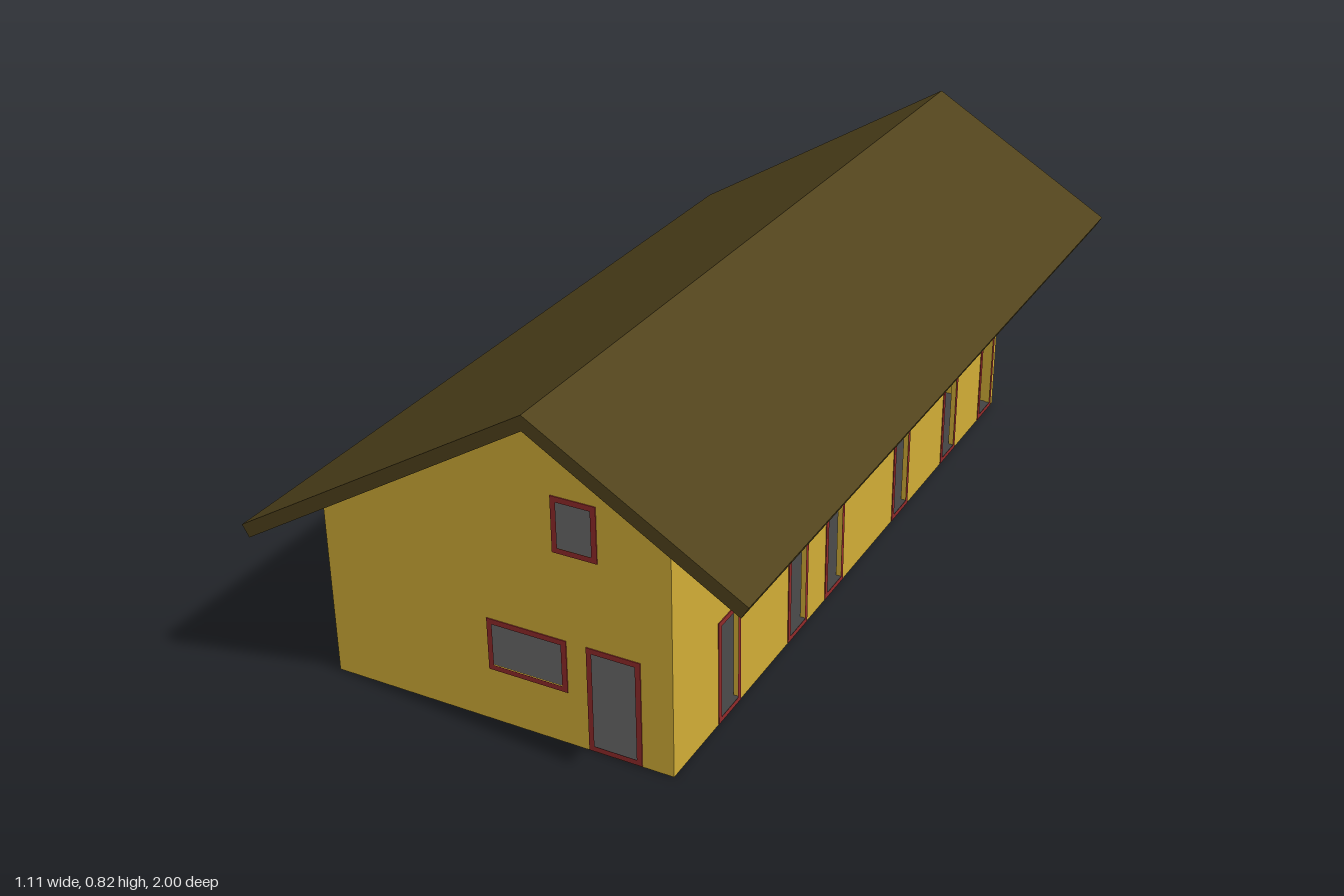
import * as THREE from 'three';

const paint = (color) => new THREE.MeshStandardMaterial({ color, flatShading: true });
const WALL = paint(0xd4af37), FRAME = paint(0x932b2b), ROOF = paint(0x51431c), SLAB = paint(0x444444);

const LEFT = 0.32, RIGHT = -0.48, FRONT = 0.845, BACK = -0.94;
const T = 0.015;      // wall thickness
const TRIM = 0.012;   // visible width of the frames
const RIDGE_X = 0.11, RIDGE_Y = 0.786, SLOPE = 0.603;
const wallTop = (x) => RIDGE_Y - Math.abs(x - RIDGE_X) * SLOPE;

const polygon = (points) => new THREE.Shape(points.map(([x, y]) => new THREE.Vector2(x, y)));

function rectangle(u0, v0, u1, v1, path = new THREE.Path()) {
  path.moveTo(u0, v0);
  path.lineTo(u0, v1);
  path.lineTo(u1, v1);
  path.lineTo(u1, v0);
  path.closePath();
  return path;
}

function extrude(name, shape, depth, material) {
  const mesh = new THREE.Mesh(new THREE.ExtrudeGeometry(shape, { depth, bevelEnabled: false }), material);
  mesh.name = name;
  return mesh;
}

// A wall in the local XY plane with framed openings [u0, v0, u1, v1]
function makeWall(name, outline, openings) {
  const group = new THREE.Group();
  group.name = name;
  const shape = polygon(outline);
  for (const [u0, v0, u1, v1] of openings) {
    shape.holes.push(rectangle(u0, v0, u1, v1));
    const ring = rectangle(u0, v0, u1, v1, new THREE.Shape());
    ring.holes.push(rectangle(u0 + TRIM, v0 + TRIM, u1 - TRIM, v1 - TRIM));
    const frame = extrude(v0 < 0.01 ? 'doorFrame' : 'windowFrame', ring, T + 0.004, FRAME);
    frame.position.z = -0.002;
    group.add(frame);
  }
  group.add(extrude(name + 'Panel', shape, T, WALL));
  return group;
}

function makeSlab(name, y, height) {
  const mesh = new THREE.Mesh(
    new THREE.BoxGeometry(LEFT - RIGHT - 0.004, height, FRONT - BACK - 0.004), SLAB);
  mesh.name = name;
  mesh.position.set((LEFT + RIGHT) / 2, y + height / 2, (FRONT + BACK) / 2);
  return mesh;
}

export function createModel() {
  const house = new THREE.Group();
  house.name = 'house';
  const SILL = 0.002, HEAD = 0.245;

  // Gable walls
  const gable = [[RIGHT, 0], [LEFT, 0], [LEFT, wallTop(LEFT)], [RIDGE_X, RIDGE_Y], [RIGHT, wallTop(RIGHT)]];
  const front = makeWall('frontWall', gable, [
    [-0.098, 0.124, 0.085, HEAD],
    [0.13, SILL, 0.25, HEAD],
    [0.063, 0.442, 0.162, 0.566],
  ]);
  front.position.z = FRONT - T;
  const back = makeWall('backWall', gable, [[-0.213, SILL, 0.085, HEAD]]);
  back.position.z = BACK;
  house.add(front, back);

  // Long side walls, with rows of narrow doors and upper windows
  const z0 = BACK + T, z1 = FRONT - T, W = 0.097;
  const side = (x) => [[z0, 0], [z1, 0], [z1, wallTop(x)], [z0, wallTop(x)]];
  const row = (starts, low, high) => starts.map((z) => [z, low, z + W, high]);
  const left = makeWall('leftWall', side(LEFT), [
    ...row([0.56, 0.235, 0.043, -0.342, -0.658, -0.922], SILL, HEAD),
    ...row([0.498, 0.199, -0.085, -0.21, -0.611, -0.782], 0.457, 0.57),
  ]);
  left.position.x = LEFT;
  const right = makeWall('rightWall', side(RIGHT),
    row([0.54, 0.202, -0.086, -0.359, -0.498, -0.905], SILL, HEAD));
  right.position.x = RIGHT + T;
  for (const wall of [left, right]) {
    wall.rotation.y = -Math.PI / 2;
    house.add(wall);
  }

  // Ground floor and upper floor
  house.add(makeSlab('groundFloor', 0, 0.008));
  const upper = makeSlab('upperFloor', 0.3, 0.015);
  upper.scale.set(0.965, 1, 0.985);
  house.add(upper);

  // Asymmetric pitched roof
  const roof = extrude('roof', polygon([
    [-0.558, 0.416], [-0.543, 0.39], [RIDGE_X, RIDGE_Y],
    [0.541, 0.526], [0.556, 0.552], [RIDGE_X, 0.818],
  ]), 2, ROOF);
  roof.position.z = -1;
  house.add(roof);

  return house;
}
